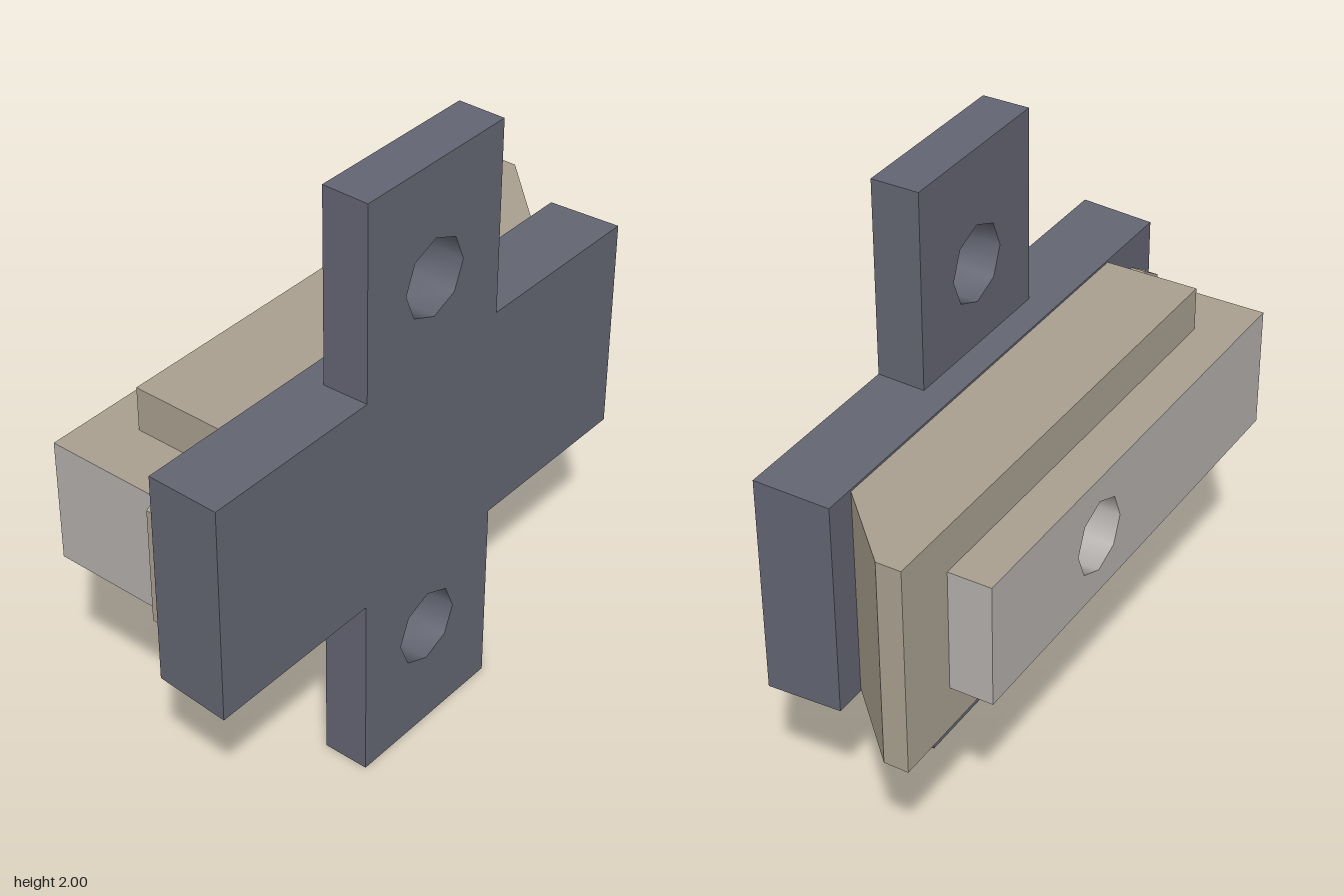
import * as THREE from 'three';
import { toCreasedNormals } from 'three/addons/utils/BufferGeometryUtils.js';

const metal = new THREE.MeshStandardMaterial({ color: 0x636572 });
const tan = new THREE.MeshStandardMaterial({ color: 0xaaa090 });
const grey = new THREE.MeshStandardMaterial({ color: 0xb4b0ae });

const rect = (y0, y1, z0, z1) => [[z0, y0], [z1, y0], [z1, y1], [z0, y1]];

// Extrude a [z, y] outline along x from x0 to x1, with optional octagonal hole [z, y, radius]
function slab(points, x0, x1, hole, steps = 1) {
  const shape = new THREE.Shape(points.map(([z, y]) => new THREE.Vector2(-z, y)));
  if (hole) {
    const [z, y, r] = hole;
    const ring = [];
    for (let i = 0; i < 8; i++) {
      const a = (i * Math.PI) / 4;
      ring.push(new THREE.Vector2(-z + r * Math.cos(a), y + r * Math.sin(a)));
    }
    shape.holes.push(new THREE.Path(ring));
  }
  const geo = new THREE.ExtrudeGeometry(shape, { depth: x1 - x0, bevelEnabled: false, steps });
  geo.rotateY(Math.PI / 2).translate(x0, 0, 0);
  return geo;
}

// Move every vertex by a rule
function reshape(geo, rule) {
  const p = geo.attributes.position;
  const v = new THREE.Vector3();
  for (let i = 0; i < p.count; i++) {
    v.fromBufferAttribute(p, i);
    rule(v);
    p.setXYZ(i, v.x, v.y, v.z);
  }
  geo.computeVertexNormals();
  return geo;
}

export function createModel() {
  const model = new THREE.Group();
  const add = (name, geo, material) => {
    const mesh = new THREE.Mesh(geo, material);
    mesh.name = name;
    model.add(mesh);
    return mesh;
  };

  // Main plate, tapering slightly toward its inner face
  const plate = reshape(slab(rect(0.64, 1.365, -0.85, 0.968), 0.1, 0.345), (v) => {
    if (v.x < 0.2) {
      v.y += v.y > 1 ? -0.008 : 0.008;
      v.z += v.z > 0 ? -0.01 : 0.006;
    }
  });
  add('mainPlate', plate, metal);

  // Mounting tabs with screw holes
  for (const [name, y0, y1, holeY] of [['upperTab', 1.36, 2, 1.63], ['lowerTab', 0, 0.645, 0.375]]) {
    const tab = slab(rect(y0, y1, -0.235, 0.352), 0.19, 0.345, [0.06, holeY, 0.127]);
    add(name, toCreasedNormals(tab, 0.9), metal);
  }

  // Bolt body with a slanted rear end, bored behind the block's hole
  const bolt = reshape(slab(rect(0.655, 1.35, -0.968, 0.68), -0.21, 0.1, [-0.16, 1, 0.15], 2), (v) => {
    if (v.x > 0.05 && v.z < -0.9) v.z = -0.74;
    else if (v.x > -0.15 && v.x < 0.05) v.x = -0.13;
  });
  add('boltBody', bolt, tan);

  // Inner strip with chamfered front corners
  const strip = [[-0.7, 0.755], [0.84, 0.755], [0.925, 0.81], [0.925, 1.197], [0.84, 1.25], [-0.7, 1.25]];
  add('innerStrip', slab(strip, 0.05, 0.1), tan);

  // Slide block with a hole: tan above and below, grey elsewhere
  const block = toCreasedNormals(slab(rect(0.8, 1.205, -0.75, 0.875), -0.35, 0.05, [-0.16, 1, 0.122]), 0.9);
  block.clearGroups();
  const { position, normal } = block.attributes;
  for (let i = 0; i < position.count; i += 3) {
    const flat = Math.abs(normal.getY(i)) > 0.99 && Math.abs(position.getY(i) - 1) > 0.19;
    block.addGroup(i, 3, flat ? 1 : 0);
  }
  add('slideBlock', block, [grey, tan]);

  return model;
}
